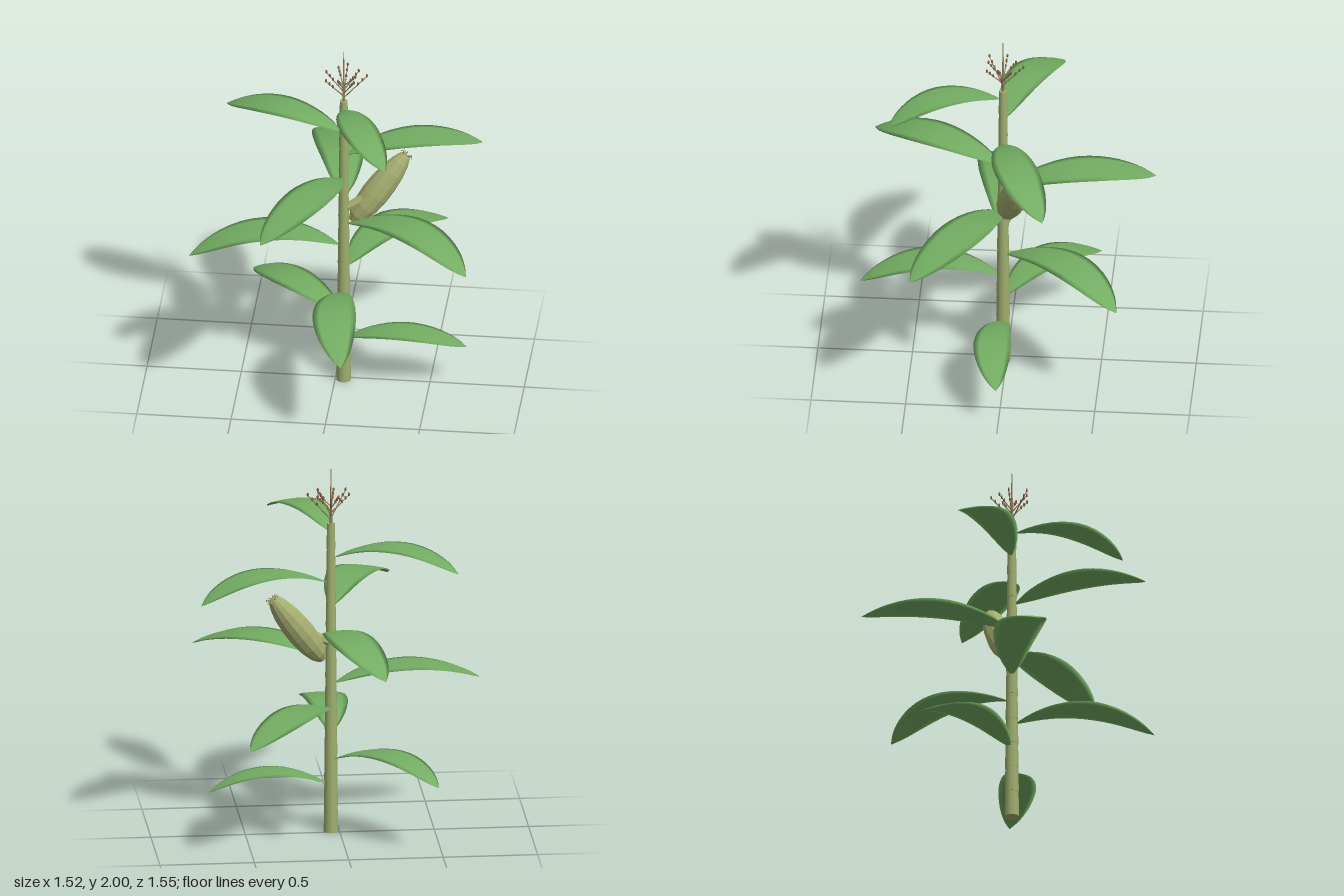
import * as THREE from 'three';

const mat = (name, color, extra = {}) => {
  const m = new THREE.MeshStandardMaterial({ color, ...extra });
  m.name = name;
  return m;
};
const V = (x, y, z) => new THREE.Vector3(x, y, z);
const UP = V(0, 1, 0);
const AXIS_X = 0.045, AXIS_Z = 0.018, STEP = 0.1417;

export function createModel() {
  const root = new THREE.Group();
  root.name = 'cornPlant';
  const stalkGreen = mat('stalkGreen', 0x9fae6e);
  const leafGreen = mat('leafGreen', 0x73ad62);
  const huskGreen = mat('huskGreen', 0xa5ae70, { flatShading: true });
  const tasselTan = mat('tasselTan', 0x94845a);
  const floretBrown = mat('floretBrown', 0x8a5f48);

  const add = (name, geometry, material, parent = root) => {
    const mesh = new THREE.Mesh(geometry, material);
    mesh.name = name;
    parent.add(mesh);
    return mesh;
  };
  const group = (name) => {
    const g = new THREE.Group();
    g.name = name;
    root.add(g);
    return g;
  };
  // tapered rod between two points
  const rod = (name, a, b, ra, rb, sides, material, parent) => {
    const m = add(name, new THREE.CylinderGeometry(rb, ra, a.distanceTo(b), sides), material, parent);
    m.position.copy(a).lerp(b, 0.5);
    m.quaternion.setFromUnitVectors(UP, b.clone().sub(a).normalize());
  };

  // Stalk: twelve tapering internodes, each slightly wider at its foot
  const stalk = group('stalk');
  const stalkR = (y) => 0.038 - 0.0165 * (y / 1.7);
  for (let i = 0; i < 12; i++) {
    const y = i * STEP;
    rod('stalkSegment', V(AXIS_X, y, AXIS_Z), V(AXIS_X, y + STEP, AXIS_Z),
      stalkR(y) + 0.001, stalkR(y + STEP) - 0.001, 16, stalkGreen, stalk);
  }

  // Leaf: thin arched lens, bent sideways, running from the stalk to its tip
  const outline = new THREE.SplineCurve([[0.03, 0.08], [0.12, 0.43], [0.25, 0.73], [0.42, 0.95],
    [0.58, 1], [0.74, 0.87], [0.86, 0.63], [0.94, 0.35], [1, 0.015]]
    .map(([t, w]) => new THREE.Vector2(t, w)));
  function leafGeometry(tipX, tipZ, baseY, side) {
    const dx = tipX - AXIS_X, dz = tipZ - AXIS_Z;
    const L = Math.hypot(dx, dz), ux = dx / L, uz = dz / L;
    const rows = 18, ring = 8;
    const pos = [], idx = [];
    for (let i = 0; i <= rows; i++) {
      const { x: t, y: w } = outline.getPoint(i / rows);
      const bend = side * 0.22 * L * t * (1 - t);
      const y = baseY + L * (0.5 * t - 0.53 * t * t);
      for (let k = 0; k < ring; k++) {
        const a = (k / ring) * Math.PI * 2;
        const s = bend + Math.cos(a) * w * 0.152 * L;
        pos.push(AXIS_X + ux * L * t - uz * s,
          y + Math.sin(a) * 0.006 * Math.min(1, w * 2.5),
          AXIS_Z + uz * L * t + ux * s);
      }
    }
    for (let i = 0; i < rows; i++) {
      for (let k = 0; k < ring; k++) {
        const a = i * ring + k, b = i * ring + (k + 1) % ring;
        idx.push(a, a + ring, b, b, a + ring, b + ring);
      }
    }
    const g = new THREE.BufferGeometry();
    g.setAttribute('position', new THREE.Float32BufferAttribute(pos, 3));
    g.setIndex(idx);
    g.computeVertexNormals();
    return g;
  }
  // leaf tips (x, z) from the lowest leaf upward
  const tips = [[0.695, 0.01], [-0.48, -0.465], [0.11, 0.77], [0.53, -0.615], [-0.76, 0.16],
    [0.74, 0.46], [-0.17, -0.775], [-0.32, 0.72], [0.755, -0.24], [-0.605, -0.26], [0.325, 0.605]];
  const leaves = group('leaves');
  tips.forEach(([x, z], i) =>
    add('leaf', leafGeometry(x, z, 0.253 + i * 0.139, i % 2 ? -1 : 1), leafGreen, leaves));

  // Ear: faceted husk on a short shank
  const earBase = V(0.09, 0.955, 0.002), earTip = V(0.365, 1.328, -0.095);
  const earLen = earBase.distanceTo(earTip);
  const profile = [[0, 0], [0.026, 0.01], [0.051, 0.1], [0.068, 0.24], [0.075, 0.42], [0.073, 0.58],
    [0.064, 0.75], [0.048, 0.89], [0.03, 0.98], [0, 1]]
    .map(([r, t]) => new THREE.Vector2(r, t * earLen));
  const ear = group('ear');
  ear.position.copy(earBase);
  ear.quaternion.setFromUnitVectors(UP, earTip.clone().sub(earBase).normalize());
  add('husk', new THREE.LatheGeometry(profile, 12), huskGreen, ear);
  rod('shank', V(AXIS_X, 1.04, AXIS_Z), V(0.17, 1.105, -0.01), 0.022, 0.032, 8, huskGreen, root);

  // Silk strands at the ear tip
  for (let i = 0; i < 9; i++) {
    const a = i * 2.4, r = 0.02 + 0.006 * (i % 3);
    const c = Math.cos(a), s = Math.sin(a);
    const path = new THREE.CatmullRomCurve3([V(c * 0.014, earLen - 0.01, s * 0.014),
      V(c * r, earLen + 0.006, s * r), V(c * r * 1.3, earLen - 0.004, s * r * 1.3)]);
    add('silk', new THREE.TubeGeometry(path, 4, 0.002, 4), tasselTan, ear);
  }

  // Tassel: central spike with spreading branches and small florets
  const tassel = group('tassel');
  rod('tasselSpike', V(AXIS_X, 1.69, AXIS_Z), V(AXIS_X, 2, AXIS_Z), 0.008, 0.002, 6, tasselTan, tassel);
  const floret = new THREE.SphereGeometry(1, 6, 5);
  for (let i = 0; i < 9; i++) {
    const a = i * 2.4, reach = 0.125 - 0.007 * i;
    const start = V(AXIS_X, 1.72 + i * 0.009, AXIS_Z);
    const end = V(AXIS_X + Math.cos(a) * reach, 1.86, AXIS_Z + Math.sin(a) * reach);
    rod('tasselBranch', start, end, 0.004, 0.002, 5, tasselTan, tassel);
    for (let k = 0; k < 3; k++) {
      const f = add('floret', floret, floretBrown, tassel);
      f.position.lerpVectors(start, end, 0.6 + k * 0.19);
      f.position.y += 0.004;
      f.scale.set(0.006, 0.011, 0.006);
    }
  }
  return root;
}
